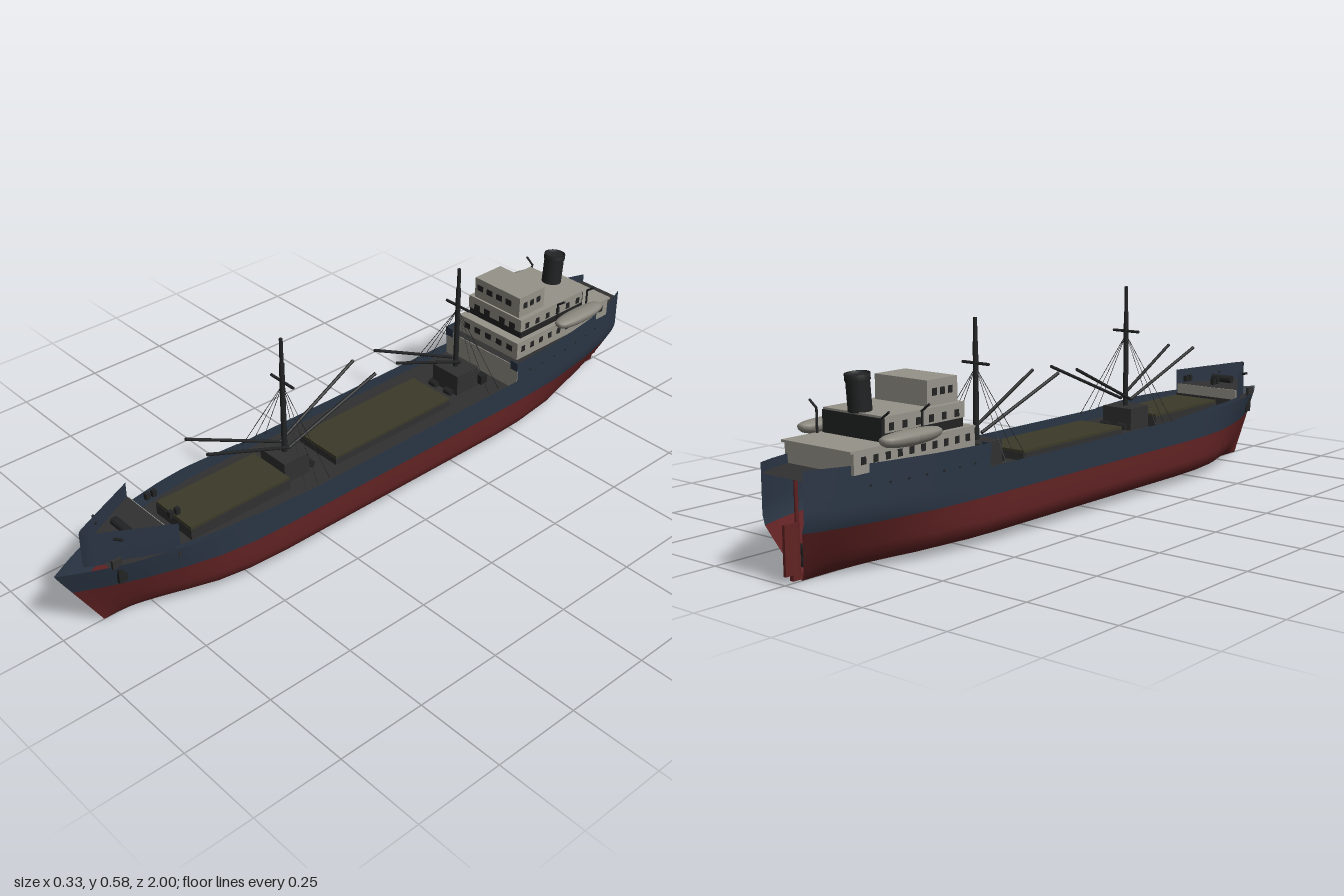
import * as THREE from 'three';

const mat = (name, color) => {
  const m = new THREE.MeshStandardMaterial({ color, side: THREE.DoubleSide });
  m.name = name;
  return m;
};

export function createModel() {
  const ship = new THREE.Group();
  ship.name = 'cargoShip';
  const navy = mat('navy topsides', 0x2a3544), red = mat('red bottom', 0x612223);
  const grey = mat('dark grey deck', 0x313131), olive = mat('olive canvas', 0x3c3a28);
  const white = mat('weathered white', 0x96938a), black = mat('black fittings', 0x222324);
  const boatGrey = mat('boat grey', 0x8a877e);

  const add = (name, geo, m, x = 0, y = 0, z = 0) => {
    const mesh = new THREE.Mesh(geo, m);
    mesh.name = name;
    mesh.position.set(x, y, z);
    ship.add(mesh);
    return mesh;
  };
  // box given by its lower and upper limits
  const box = (name, m, x0, x1, y0, y1, z0, z1) =>
    add(name, new THREE.BoxGeometry(x1 - x0, y1 - y0, z1 - z0), m, (x0 + x1) / 2, (y0 + y1) / 2, (z0 + z1) / 2);
  // round bar between two points
  const bar = (name, m, a, b, r, r2 = r, n = 8) => {
    const p = new THREE.Vector3(...a), d = new THREE.Vector3(...b).sub(p);
    const mesh = add(name, new THREE.CylinderGeometry(r2, r, d.length(), n), m);
    mesh.position.copy(p).addScaledVector(d, 0.5);
    mesh.quaternion.setFromUnitVectors(new THREE.Vector3(0, 1, 0), d.normalize());
    return mesh;
  };
  // surface through rows of points
  const skin = (name, rows, m) => {
    const w = rows[0].length, idx = [];
    for (let i = 0; i < rows.length - 1; i++)
      for (let j = 0; j < w - 1; j++) {
        const a = i * w + j, b = a + w;
        idx.push(a, a + 1, b, b, a + 1, b + 1);
      }
    const g = new THREE.BufferGeometry();
    g.setAttribute('position', new THREE.Float32BufferAttribute(rows.flat(2), 3));
    g.setIndex(idx);
    g.computeVertexNormals();
    return add(name, g, m);
  };

  // Hull lines: [z, half breadth, fullness of the section]
  const stations = [
    [-1, 0.07, 0], [-0.95, 0.09, 0.05], [-0.9, 0.105, 0.13], [-0.8, 0.124, 0.38], [-0.65, 0.141, 0.75],
    [-0.5, 0.145, 0.95], [-0.4, 0.145, 1], [0.4, 0.145, 1], [0.5, 0.143, 0.96], [0.6, 0.134, 0.85],
    [0.7, 0.116, 0.62], [0.8, 0.09, 0.35], [0.87, 0.065, 0.18], [0.93, 0.038, 0.08], [1, 0.001, 0]];
  const bilge = [[0, 0], [0.004, 0.2], [0.008, 0.37], [0.014, 0.58], [0.02, 0.72], [0.03, 0.85], [0.04, 0.92],
    [0.055, 0.975], [0.07, 1], [1, 1]];
  const lookup = (t, v, k) => {
    let i = 0;
    while (i < t.length - 2 && v > t[i + 1][0]) i++;
    return THREE.MathUtils.lerp(t[i][k], t[i + 1][k], THREE.MathUtils.clamp((v - t[i][0]) / (t[i + 1][0] - t[i][0]), 0, 1));
  };
  const hullPoint = (z, y, side) => {
    const full = lookup(stations, z, 2);
    const fine = z > 0 ? Math.min(y / 0.2, 1) ** 0.6 : Math.min(y / 0.15, 1) ** 0.8;
    const x = lookup(stations, z, 1) * THREE.MathUtils.lerp(fine, lookup(bilge, y, 1), full);
    const bow = Math.max(0, (z - 0.5) / 0.5) ** 2, stern = Math.max(0, (-0.85 - z) / 0.15);
    return [side * x, y, z - bow * 0.12 * (1 - Math.min(y / 0.2, 1)) + stern * 0.05 * (1 - Math.min(y / 0.13, 1))];
  };
  // the raised forecastle closes to a point at z = 0.92
  const forecastlePoint = (z, y, side) => {
    const [x] = hullPoint(z, y, side);
    return [x * Math.sqrt(Math.max(0, (0.92 - z) / 0.21)), y, z];
  };
  const steps = (a, b, n) => Array.from({ length: n + 1 }, (_, i) => a + (b - a) * i / n);

  // Red underwater body, keel to waterline
  const low = [0.13, 0.1, 0.07, 0.055, 0.04, 0.03, 0.02, 0.014, 0.008, 0.004, 0];
  skin('underwaterHull', steps(-1, 1, 80).map(z => [
    ...low.map(y => hullPoint(z, y, -1)), ...low.slice(0, -1).reverse().map(y => hullPoint(z, y, 1))]), red);

  // Navy sides and raised bulwarks
  const sides = (name, z0, z1, n, y0, topY, point = hullPoint) => [-1, 1].forEach(s =>
    skin(name, steps(z0, z1, n).map(z => steps(y0, topY(z), 3).map(y => point(z, y, s))), navy));
  sides('topsides', -1, 1, 80, 0.13, () => 0.202);
  sides('foreBulwark', 0.33, 0.72, 14, 0.2, z => 0.204 + 0.01 * Math.min(1, (z - 0.33) / 0.2));
  sides('forecastleBulwark', 0.71, 0.92, 24, 0.19, z => 0.278 + 0.012 * (z - 0.71) / 0.21, forecastlePoint);
  sides('poopSide', -1, -0.465, 22, 0.2, z => 0.262 + 0.013 * Math.max(0, (-0.465 - z) / 0.535));

  // Decks follow the hull plan
  const deck = (name, y, z0, z1, n, point = hullPoint) =>
    skin(name, steps(z0, z1, n).map(z => [point(z, y, -1), point(z, y, 1)]), grey);
  deck('mainDeck', 0.172, -0.47, 0.71, 40);
  deck('bowDeck', 0.195, 0.71, 0.88, 10);
  deck('poopDeck', 0.25, -1, -0.465, 20);
  deck('forecastleDeck', 0.235, 0.71, 0.92, 24, forecastlePoint);
  box('poopBulkhead', white, -0.143, 0.143, 0.172, 0.248, -0.472, -0.465);
  box('forecastleBulkhead', white, -0.108, 0.108, 0.205, 0.235, 0.708, 0.714);
  box('forecastleSill', grey, -0.111, 0.111, 0.172, 0.205, 0.708, 0.714);
  for (const s of [-1, 1])
    add('poopWing', new THREE.BoxGeometry(0.027, 0.027, 0.004), navy, s * 0.1315, 0.2485, -0.464);

  // Rudder and propeller
  box('rudder', red, -0.004, 0.004, 0.02, 0.14, -1, -0.955);
  box('rudderShoe', red, -0.006, 0.006, 0.006, 0.02, -0.98, -0.85);
  bar('rudderStock', red, [0, 0.02, -0.96], [0, 0.25, -0.96], 0.005);
  for (let i = 0; i < 4; i++) {
    const blade = add('propellerBlade', new THREE.SphereGeometry(1, 8, 6), black, 0, 0.06, -0.948);
    blade.scale.set(0.006, 0.015, 0.003);
    blade.rotation.z = i * Math.PI / 2;
    blade.translateY(0.014);
  }

  // Cargo hatches
  for (const [z0, z1, top] of [[-0.26, 0.17, 0.199], [0.33, 0.65, 0.21]]) {
    box('hatchCoaming', grey, -0.075, 0.075, 0.17, top - 0.007, z0, z1);
    box('hatchCover', olive, -0.074, 0.074, top - 0.007, top, z0 + 0.001, z1 - 0.001);
  }

  // Masts with houses, crosstrees, booms, shrouds and winches
  for (const [z, top, cross, reach] of [[0.285, 0.58, 0.452, [0.28, -0.285]], [-0.357, 0.55, 0.433, [0.278]]]) {
    box('mastHouse', grey, -0.05, 0.05, 0.17, 0.235, z - 0.042, z + 0.042);
    bar('lowerMast', black, [0, 0.2, z], [0, cross + 0.055, z], 0.008, 0.007, 10);
    bar('topMast', black, [0, cross + 0.05, z], [0, top, z], 0.0055, 0.005);
    bar('crosstree', black, [-0.045, cross, z], [0.045, cross, z], 0.004);
    for (const s of [-1, 1]) {
      for (const r of reach) {
        bar('cargoBoom', black, [s * 0.018, 0.255, z], [s * 0.045, 0.378, z + r], 0.0045);
        const w = add('winch', new THREE.CylinderGeometry(0.01, 0.01, 0.025, 10), black, s * 0.03, 0.185, z + Math.sign(r) * 0.058);
        w.rotation.z = Math.PI / 2;
      }
      for (const d of [-0.04, 0, 0.04])
        bar('shroud', black, [0, cross - 0.01, z], [s * 0.135, 0.2, z + d], 0.0008, 0.0008, 4);
    }
  }
  for (const s of [-1, 1])
    add('ventilator', new THREE.BoxGeometry(0.024, 0.028, 0.024), black, s * 0.045, 0.186, -0.42);

  // Superstructure tiers
  box('lowerHouse', white, -0.116, 0.116, 0.25, 0.3, -0.89, -0.49);
  box('boatDeck', white, -0.117, 0.117, 0.3, 0.306, -0.9, -0.488);
  box('promenadeBand', black, -0.102, 0.102, 0.306, 0.328, -0.78, -0.517);
  box('middleHouse', white, -0.104, 0.104, 0.328, 0.367, -0.78, -0.513);
  box('middleHouseBack', black, -0.103, 0.103, 0.307, 0.362, -0.784, -0.779);
  box('bridge', white, -0.088, 0.088, 0.367, 0.43, -0.625, -0.52);

  // Windows as thin plates
  const frontWindows = (xs, y, h, z) => xs.forEach(x => box('frontWindow', black, x - 0.011, x + 0.011, y - h / 2, y + h / 2, z, z + 0.002));
  frontWindows([-0.067, -0.03, 0.008, 0.045], 0.401, 0.018, -0.521);
  frontWindows([-0.07, -0.03, 0.03, 0.07], 0.338, 0.019, -0.514);
  frontWindows([-0.085, -0.043, 0, 0.043, 0.085], 0.28, 0.018, -0.491);
  const sideWindows = (x, y, z0, z1, n) => [-1, 1].forEach(s => steps(z0, z1, n).forEach(z =>
    add('sideWindow', new THREE.BoxGeometry(0.002, 0.018, 0.015), black, s * x, y, z)));
  sideWindows(0.088, 0.4, -0.6, -0.545, 2);
  sideWindows(0.104, 0.342, -0.76, -0.54, 5);
  sideWindows(0.116, 0.28, -0.86, -0.515, 9);

  // Hull portholes
  for (const s of [-1, 1]) for (const z of steps(-0.84, -0.52, 6)) {
    const p = add('porthole', new THREE.CylinderGeometry(0.003, 0.003, 0.003, 10), black, hullPoint(z, 0.22, s)[0], 0.22, z);
    p.rotation.z = Math.PI / 2;
  }

  // Funnel, raked slightly aft
  const funnel = add('funnel', new THREE.LatheGeometry([[0.029, 0], [0.029, 0.072], [0.031, 0.074], [0.031, 0.09],
    [0.027, 0.09], [0.027, 0.082], [0, 0.082]].map(p => new THREE.Vector2(...p)), 20), black, 0, 0.367, -0.758);
  funnel.rotation.x = -0.08;

  // Lifeboats: blunt-ended hulls with a low crown
  const boatShape = new THREE.SphereGeometry(1, 24, 16);
  const p = boatShape.attributes.position;
  for (let i = 0; i < p.count; i++) {
    const blunt = Math.max(1 - p.getZ(i) ** 2, 1e-6) ** -0.2;
    p.setX(i, p.getX(i) * blunt);
    p.setY(i, p.getY(i) * blunt * (p.getY(i) > 0 ? 0.6 : 1));
  }
  boatShape.computeVertexNormals();
  for (const s of [-1, 1]) {
    add('lifeboat', boatShape, boatGrey, s * 0.138, 0.321, -0.73).scale.set(0.028, 0.024, 0.095);
    for (const z of [-0.665, -0.795]) {
      bar('davitPost', black, [s * 0.11, 0.3, z], [s * 0.11, 0.368, z], 0.003);
      bar('davitArm', black, [s * 0.11, 0.366, z], [s * 0.134, 0.384, z], 0.003);
    }
    // Bow fittings: anchors, hawse plates, bollards
    const a = hullPoint(0.86, 0.17, s);
    box('anchorShank', black, s * 0.062 - 0.005, s * 0.062 + 0.005, 0.145, 0.187, a[2] - 0.012, a[2] + 0.012);
    box('hawsePlate', grey, s * 0.062 - 0.005, s * 0.062 + 0.005, 0.195, 0.22, 0.85, 0.876);
    for (const z of [0.67, 0.69]) box('bollard', black, s * 0.05 - 0.006, s * 0.05 + 0.006, 0.252, 0.27, z - 0.006, z + 0.006);
    bar('fairlead', black, [s * 0.04, 0.262, 0.85], [s * 0.065, 0.268, 0.84], 0.004);
  }
  const windlass = add('windlass', new THREE.CylinderGeometry(0.012, 0.012, 0.07, 12), black, 0, 0.25, 0.8);
  windlass.rotation.z = Math.PI / 2;
  return ship;
}
